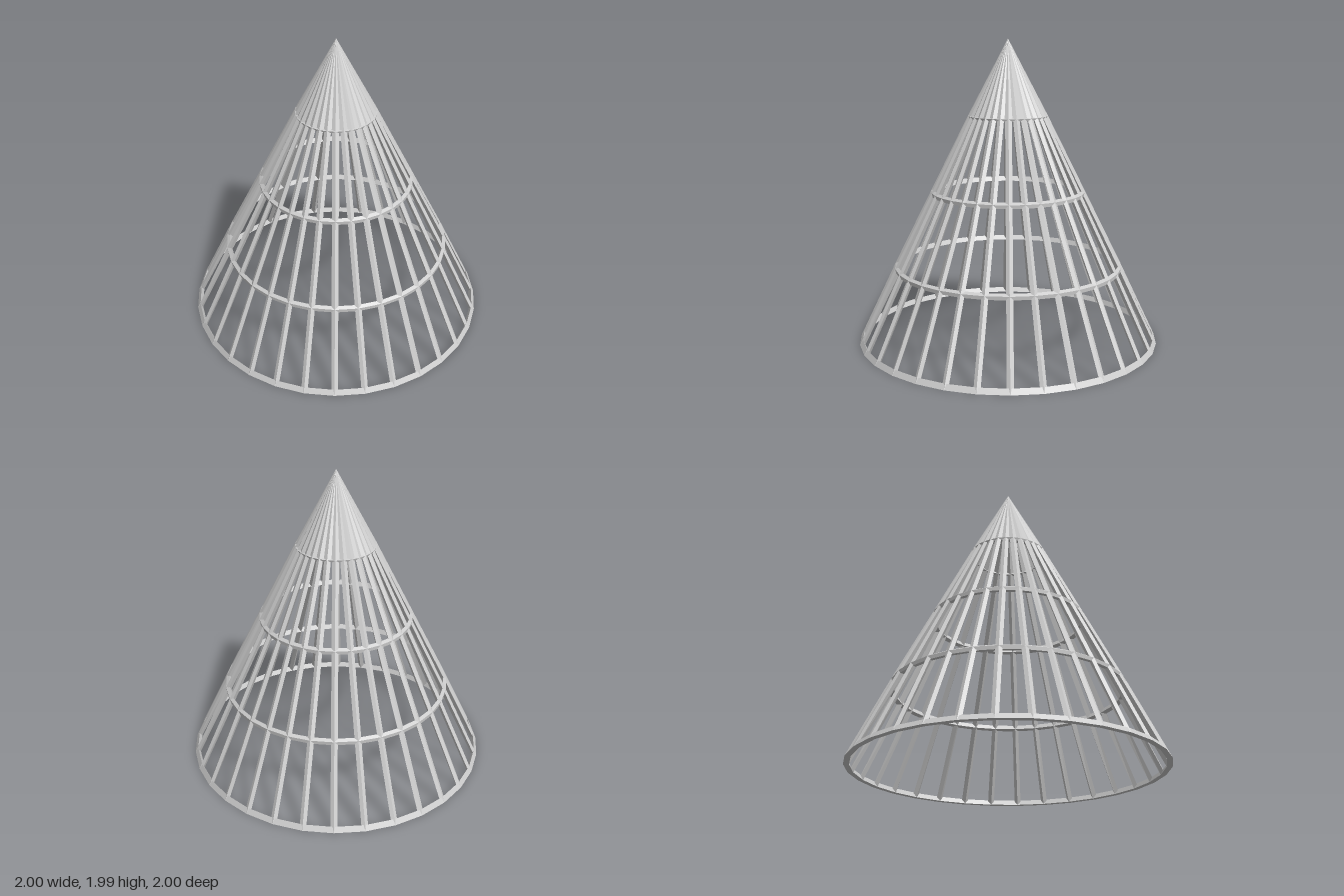
import * as THREE from 'three';

const SIDES = 32;
const HEIGHT = 1.99;
const BASE = 0.995;
const OUT = 0.012; // ridge height outside the cone surface
const IN = 0.028; // depth inside the cone surface
const HALF = 0.021; // half width of a bar

// Radius of the cone surface at a height
const radiusAt = (y) => BASE * (1 - y / HEIGHT);

// Outward and upward directions of the slope, as (radius, y)
const len = Math.hypot(BASE, HEIGHT);
const normal = new THREE.Vector2(HEIGHT / len, BASE / len);
const slope = new THREE.Vector2(-BASE / len, HEIGHT / len);

// Point near the cone surface at height y, moved along the normal and the slope
function near(y, n, s = 0) {
  return new THREE.Vector2(radiusAt(y), y).addScaledVector(normal, n).addScaledVector(slope, s);
}

// Joins four-point sections, listed bottom to top, into a closed bar
function loft(sections) {
  const index = [0, 2, 1, 0, 3, 2];
  for (let j = 0; j < sections.length - 1; j++) {
    for (let i = 0; i < 4; i++) {
      const a = j * 4 + i;
      const b = j * 4 + ((i + 1) % 4);
      index.push(a, b, b + 4, a, b + 4, a + 4);
    }
  }
  const geometry = new THREE.BufferGeometry();
  geometry.setAttribute('position', new THREE.Float32BufferAttribute(sections.flat(2), 3));
  geometry.setIndex(index);
  geometry.computeVertexNormals();
  return geometry;
}

// Diamond section: outer ridge, right, inner ridge, left
function section(outer, middle, inner, half) {
  return [
    [0, outer.y, outer.x],
    [half, middle.y, middle.x],
    [0, inner.y, inner.x],
    [-half, middle.y, middle.x],
  ];
}

export function createModel() {
  const group = new THREE.Group();
  group.name = 'coneFrame';
  const material = new THREE.MeshStandardMaterial({ color: 0xcccccc, flatShading: true });

  const add = (name, geometry, parent = group) => {
    const mesh = new THREE.Mesh(geometry, material);
    mesh.name = name;
    parent.add(mesh);
    return mesh;
  };

  // Base hoop with a flat underside
  const baseProfile = [[0.962, 0], [0.998, 0], [0.978, 0.033], [0.962, 0]];
  add('baseHoop', new THREE.LatheGeometry(baseProfile.map((p) => new THREE.Vector2(...p)), SIDES));

  // Diamond-section hoops up the slope
  const levels = [0.5, 0.995, 1.49];
  levels.forEach((y, i) => {
    const s = i === 2 ? 0.012 : 0.02;
    const profile = [near(y, 0, -s), near(y, OUT), near(y, 0, s), near(y, -IN), near(y, 0, -s)];
    add('hoop' + (i + 1), new THREE.LatheGeometry(profile, SIDES));
  });

  // Slanted ribs, running from the base to the highest hoop
  const foot = section(
    new THREE.Vector2(0.998, 0), new THREE.Vector2(0.985, 0), new THREE.Vector2(0.962, 0), HALF);
  const ribGeometry = loft([
    foot, ...levels.map((y) => section(near(y, OUT), near(y, 0), near(y, -IN), HALF))]);

  // Ridged strips that taper and close up into the solid tip
  const top = levels[2];
  const apex = new THREE.Vector2(0, HEIGHT);
  const tipGeometry = loft([
    section(near(top, OUT), near(top, 0), near(top, -IN), radiusAt(top) * Math.tan(Math.PI / SIDES)),
    section(apex, apex, new THREE.Vector2(0, HEIGHT - 0.06), 0),
  ]);

  const ribs = new THREE.Group();
  ribs.name = 'ribs';
  const tip = new THREE.Group();
  tip.name = 'tip';
  group.add(ribs, tip);
  for (let i = 0; i < SIDES; i++) {
    const angle = (i / SIDES) * Math.PI * 2;
    add('rib', ribGeometry, ribs).rotation.y = angle;
    add('tipStrip', tipGeometry, tip).rotation.y = angle;
  }
  return group;
}
